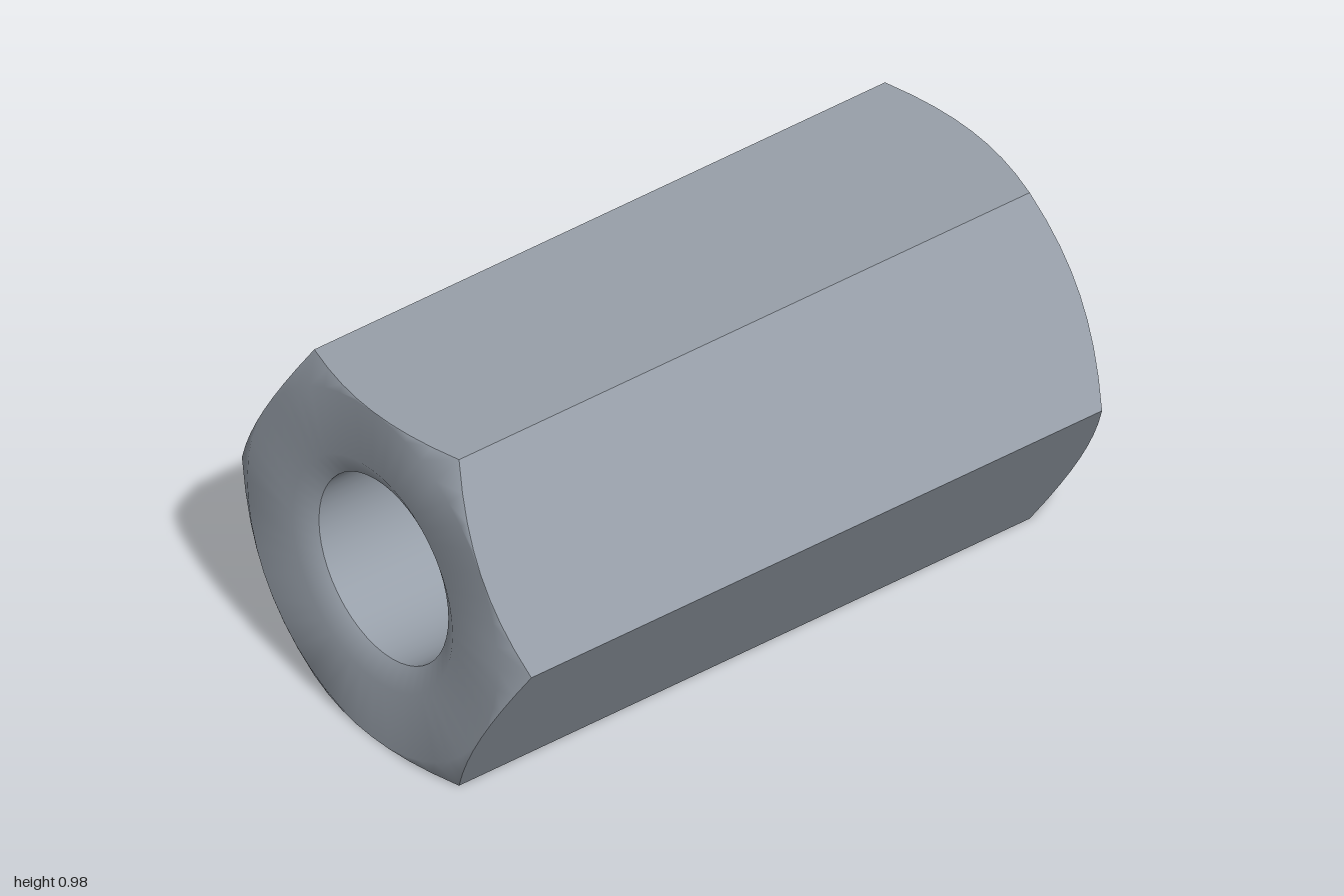
import * as THREE from 'three';

const SEG = 48;         // divisions around the axis (a multiple of 12)
const APOTHEM = 0.49;   // centre to flat
const HALF = 0.918;     // centre to end face
const BORE = 0.253;     // hole radius
const SINK = 0.313;     // countersink radius at the end face
const SLOPE = Math.tan(Math.PI / 6); // chamfer and countersink angle

// Radius of the hexagon at an angle, with a corner at zero
const hexRadius = (t) => APOTHEM / Math.cos((t % (Math.PI / 3)) - Math.PI / 6);

// Rings of points around the x axis: each gives [x, radius] at an angle
const hexEnd = (s) => (t) => {
  const r = hexRadius(t);
  return [s * (HALF - (r - APOTHEM) * SLOPE), r];
};
const circle = (x, r) => () => [x, r];

// Skin closed rings in order; travelling towards +x faces outwards
function loft(rings, flat) {
  const pos = [], idx = [];
  rings.forEach((ring, k) => {
    for (let i = 0; i < SEG; i++) {
      const t = (i / SEG) * Math.PI * 2;
      const [x, r] = ring(t + 1e-9);
      pos.push(x, r * Math.sin(t), r * Math.cos(t));
      if (k === 0) continue;
      const j = (i + 1) % SEG;
      const a = (k - 1) * SEG + i, b = (k - 1) * SEG + j;
      const d = k * SEG + i, c = k * SEG + j;
      idx.push(a, d, b, b, d, c);
    }
  });
  let g = new THREE.BufferGeometry();
  g.setAttribute('position', new THREE.Float32BufferAttribute(pos, 3));
  g.setIndex(idx);
  if (flat) g = g.toNonIndexed();
  g.computeVertexNormals();
  return g;
}

export function createModel() {
  const group = new THREE.Group();
  group.name = 'hexCouplingNut';
  const steel = new THREE.MeshStandardMaterial({ color: 0x98a0aa });
  steel.name = 'steel';

  const add = (name, geometry) => {
    const mesh = new THREE.Mesh(geometry, steel);
    mesh.name = name;
    group.add(mesh);
  };

  const boreEnd = HALF - (SINK - BORE) * SLOPE;

  // Six flat sides with scalloped ends
  add('hexSides', loft([hexEnd(-1), hexEnd(1)], true));

  // Chamfered end faces with countersunk holes, softly shaded
  for (const [name, s] of [['leftEnd', 1], ['rightEnd', -1]]) {
    const rings = [
      hexEnd(s),
      circle(s * HALF, APOTHEM - 0.001),
      circle(s * HALF, SINK),
      circle(s * boreEnd, BORE),
    ];
    add(name, loft(s > 0 ? rings : rings.reverse(), false));
  }

  // Through hole
  add('bore', loft([circle(boreEnd, BORE), circle(-boreEnd, BORE)], false));

  // Rest on a flat, with the axis turned slightly towards the front
  group.position.y = APOTHEM;
  group.rotation.y = -0.2077;

  const root = new THREE.Group();
  root.name = 'model';
  root.add(group);
  return root;
}
